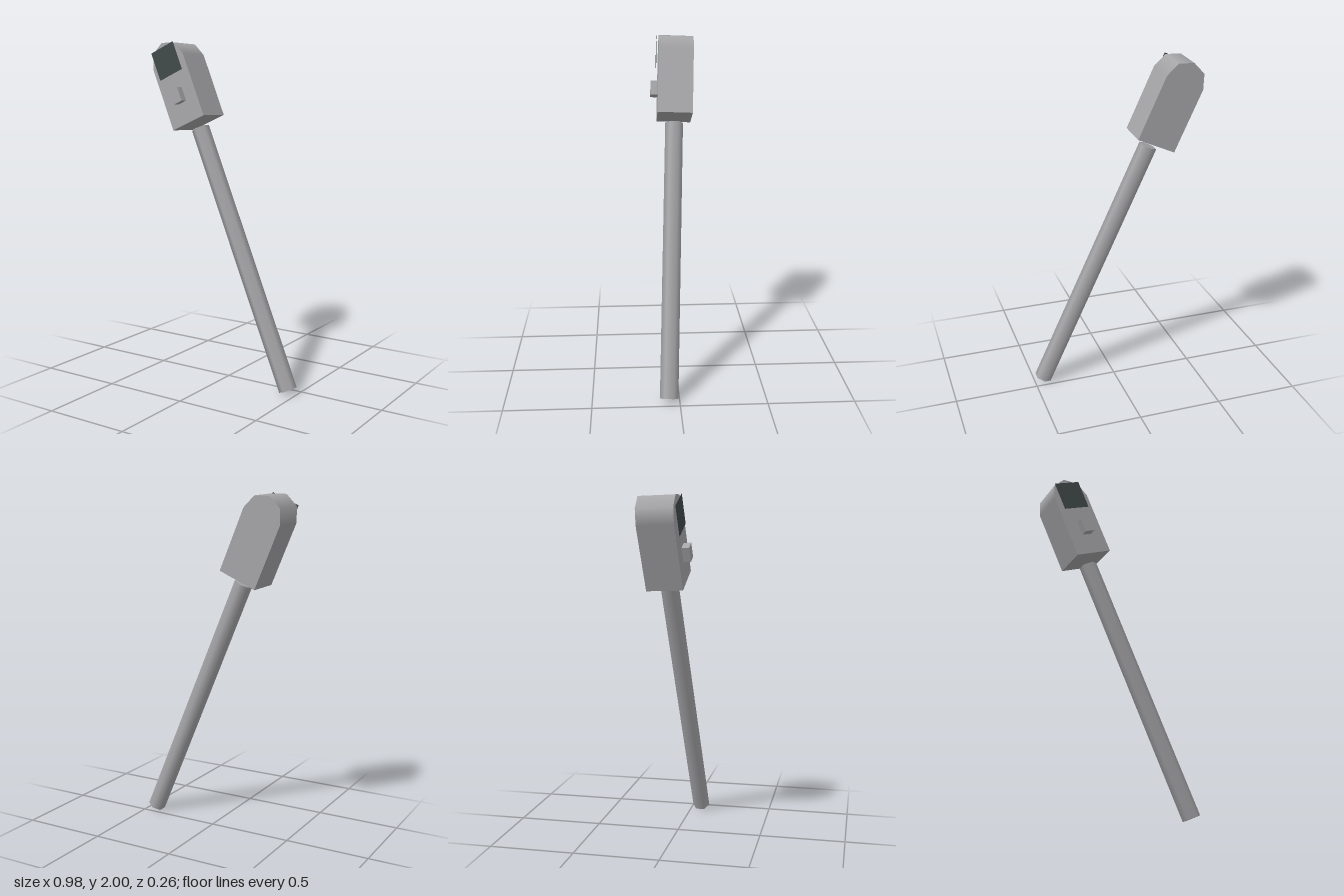
import * as THREE from 'three';

const POLE_LENGTH = 1.613;
const HEAD_BASE = 1.647;    // small gap above the pole
const HEAD_STRAIGHT = 0.387; // straight side height below the rounded top
const HEAD_RADIUS = 0.119;
const HEAD_DEPTH = 0.207;

// Box with a half-round top of four facets, shaded smoothly over the arc
function headGeometry() {
  const points = [new THREE.Vector2(-HEAD_RADIUS, 0), new THREE.Vector2(HEAD_RADIUS, 0)];
  for (let i = 0; i <= 4; i++) {
    const a = (i / 4) * Math.PI;
    points.push(new THREE.Vector2(Math.cos(a) * HEAD_RADIUS, HEAD_STRAIGHT + Math.sin(a) * HEAD_RADIUS));
  }
  const geometry = new THREE.ExtrudeGeometry(new THREE.Shape(points), { depth: HEAD_DEPTH, bevelEnabled: false });
  geometry.translate(0, 0, -HEAD_DEPTH / 2);

  const { position, normal } = geometry.attributes;
  const n = new THREE.Vector3();
  for (let i = 0; i < position.count; i++) {
    const rise = position.getY(i) - HEAD_STRAIGHT;
    if (rise > -1e-4 && Math.abs(normal.getZ(i)) < 0.5) {
      n.set(position.getX(i), rise, 0).normalize();
      normal.setXYZ(i, n.x, n.y, n.z);
    }
  }
  return geometry;
}

export function createModel() {
  const metal = new THREE.MeshStandardMaterial({ color: 0xa6a6a9 });
  metal.name = 'grey metal';
  const glass = new THREE.MeshStandardMaterial({ color: 0x404a48, side: THREE.DoubleSide });
  glass.name = 'dark glass';

  const model = new THREE.Group();
  model.name = 'leaningMeter';

  // Everything is built upright from the pole's foot, then leaned over
  const meter = new THREE.Group();
  meter.name = 'meter';
  meter.position.set(0.446, 0.022, 0.061);
  meter.rotation.set(-0.04, 0, 0.4155, 'ZYX');
  model.add(meter);

  const add = (name, geometry, material, x, y, z) => {
    const mesh = new THREE.Mesh(geometry, material);
    mesh.name = name;
    mesh.position.set(x, y, z);
    meter.add(mesh);
  };

  const arcCentre = HEAD_BASE + HEAD_STRAIGHT;

  // Six-sided pole
  add('pole', new THREE.CylinderGeometry(0.053, 0.053, POLE_LENGTH, 6), metal, 0, POLE_LENGTH / 2, 0);
  // Meter housing
  add('head', headGeometry(), metal, 0, HEAD_BASE, 0);
  // Display pane floating just ahead of the housing
  add('displayPane', new THREE.PlaneGeometry(0.173, 0.175), glass, 0, arcCentre + 0.002, 0.116);
  // Coin block on the front
  add('coinSlot', new THREE.BoxGeometry(0.063, 0.085, 0.06), metal, 0.004, arcCentre - 0.219, 0.116);

  return model;
}
